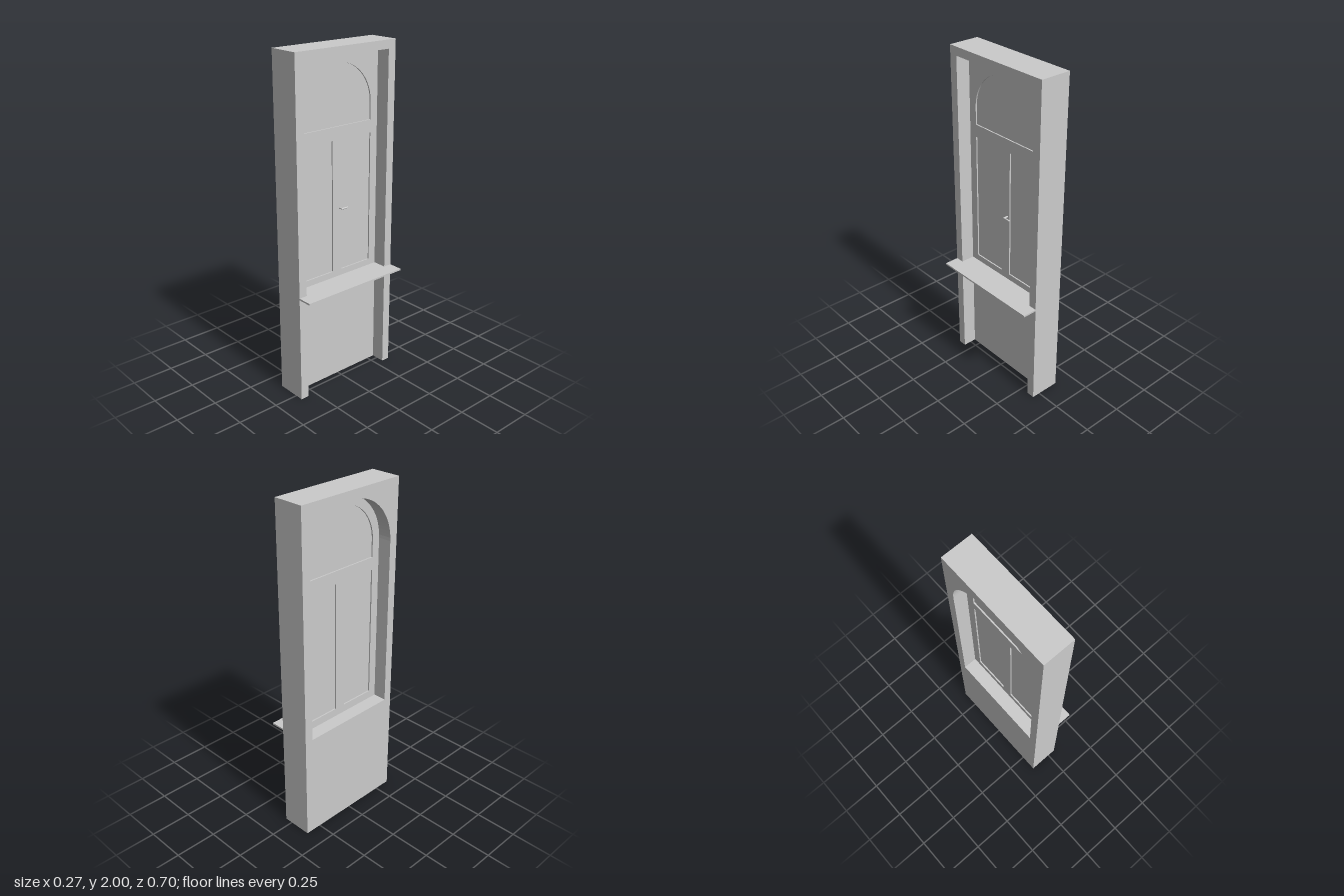
import * as THREE from 'three';

const HALF = 0.351, HEIGHT = 2;          // wall block
const BACK = -0.137, FACE = 0.05;        // outer and inner wall faces
const REVEAL = -0.035;                   // plane of the window on the room side
const OPEN = 0.3, SPRING = 1.65, SILL = 0.642;

const rect = (T, u0, v0, u1, v1) =>
  new T([[u0, v0], [u1, v0], [u1, v1], [u0, v1]].map(p => new THREE.Vector2(...p)));

// Round-headed outline
function arch(T, r, bottom) {
  const p = new T();
  p.moveTo(-r, bottom);
  p.lineTo(r, bottom);
  p.lineTo(r, SPRING);
  p.absarc(0, SPRING, r, 0, Math.PI, false);
  p.lineTo(-r, bottom);
  return p;
}

export function createModel() {
  const group = new THREE.Group();
  const mat = new THREE.MeshStandardMaterial({ color: 0xcccccc });

  const add = (name, geo) => {
    const mesh = new THREE.Mesh(geo, mat);
    mesh.name = name;
    group.add(mesh);
    return mesh;
  };
  // Extrude an upright shape along x, from x0 to x1
  const slab = (name, shape, x0, x1) => {
    const geo = new THREE.ExtrudeGeometry(shape, { depth: x1 - x0, bevelEnabled: false, curveSegments: 24 });
    geo.rotateY(Math.PI / 2);
    geo.translate(x0, 0, 0);
    return add(name, geo);
  };

  // Outer wall with the arched opening
  const wall = rect(THREE.Shape, -HALF, 0, HALF, HEIGHT);
  wall.holes.push(arch(THREE.Path, OPEN, SILL));
  slab('wall', wall, BACK, REVEAL);

  // Rectangular niche on the room side, open at the floor
  const niche = new THREE.Shape([
    [-HALF, 0], [-OPEN, 0], [-OPEN, 1.95], [OPEN, 1.95],
    [OPEN, 0], [HALF, 0], [HALF, HEIGHT], [-HALF, HEIGHT],
  ].map(p => new THREE.Vector2(...p)));
  slab('nicheSurround', niche, REVEAL, FACE);

  // Window frame: fanlight above two casements
  const frame = arch(THREE.Shape, OPEN, SILL);
  frame.holes.push(arch(THREE.Path, 0.25, 1.55));
  for (const s of [-1, 1]) {
    const [a, b] = s < 0 ? [-0.25, -0.033] : [0.033, 0.25];
    frame.holes.push(rect(THREE.Path, a, 0.69, b, 1.475));
    slab(s < 0 ? 'leftPane' : 'rightPane', rect(THREE.Shape, a, 0.69, b, 1.475), -0.047, -0.043);
  }
  slab('windowFrame', frame, -0.055, REVEAL);
  slab('fanlightPane', arch(THREE.Shape, 0.25, 1.55), -0.047, -0.043);

  // Projecting window board
  add('windowSill', new THREE.BoxGeometry(0.137 - REVEAL, 0.01, HALF * 2))
    .position.set((0.137 + REVEAL) / 2, SILL + 0.005, 0);

  // Handle: short stem and lever
  const stem = add('handleStem', new THREE.CylinderGeometry(0.005, 0.005, 0.025, 12));
  stem.rotation.z = Math.PI / 2;
  stem.position.set(REVEAL + 0.0125, 1.075, -0.016);
  const lever = add('handleLever', new THREE.CapsuleGeometry(0.005, 0.04, 4, 12));
  lever.rotation.x = Math.PI / 2;
  lever.position.set(REVEAL + 0.025, 1.075, -0.035);

  return group;
}
